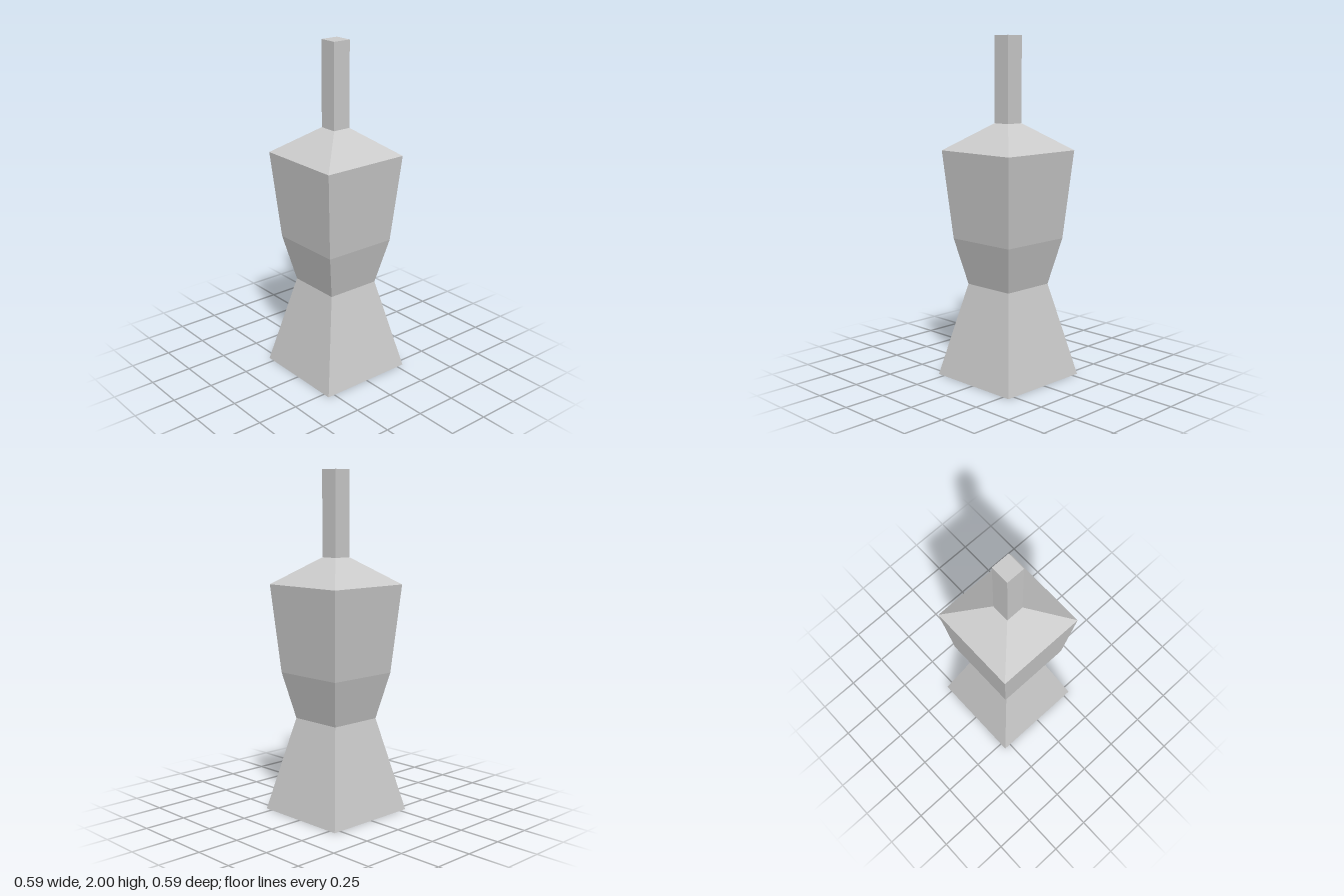
import * as THREE from 'three';

const material = new THREE.MeshStandardMaterial({ color: 0xcccccc, flatShading: true });

// Square-section part from [halfWidth, height] steps, listed bottom to top
function squarePart(name, steps) {
  const points = steps.map(([half, y]) => new THREE.Vector2(half * Math.SQRT2, y));
  const mesh = new THREE.Mesh(new THREE.LatheGeometry(points, 4, Math.PI / 4), material);
  mesh.name = name;
  return mesh;
}

export function createModel() {
  const group = new THREE.Group();
  group.name = 'bottle';

  // Half width and height where neighbouring parts meet
  const waist = [0.165, 0.557];
  const hip = [0.225, 0.83];
  const shoulder = [0.27, 1.347];
  const collar = [0.055, 1.503];

  group.add(
    squarePart('base', [[0, 0], [0.293, 0], waist]),
    squarePart('lowerBody', [waist, hip]),
    squarePart('upperBody', [hip, shoulder]),
    squarePart('shoulders', [shoulder, collar]),
    squarePart('neck', [collar, [0.055, 2], [0, 2]]),
  );
  return group;
}
